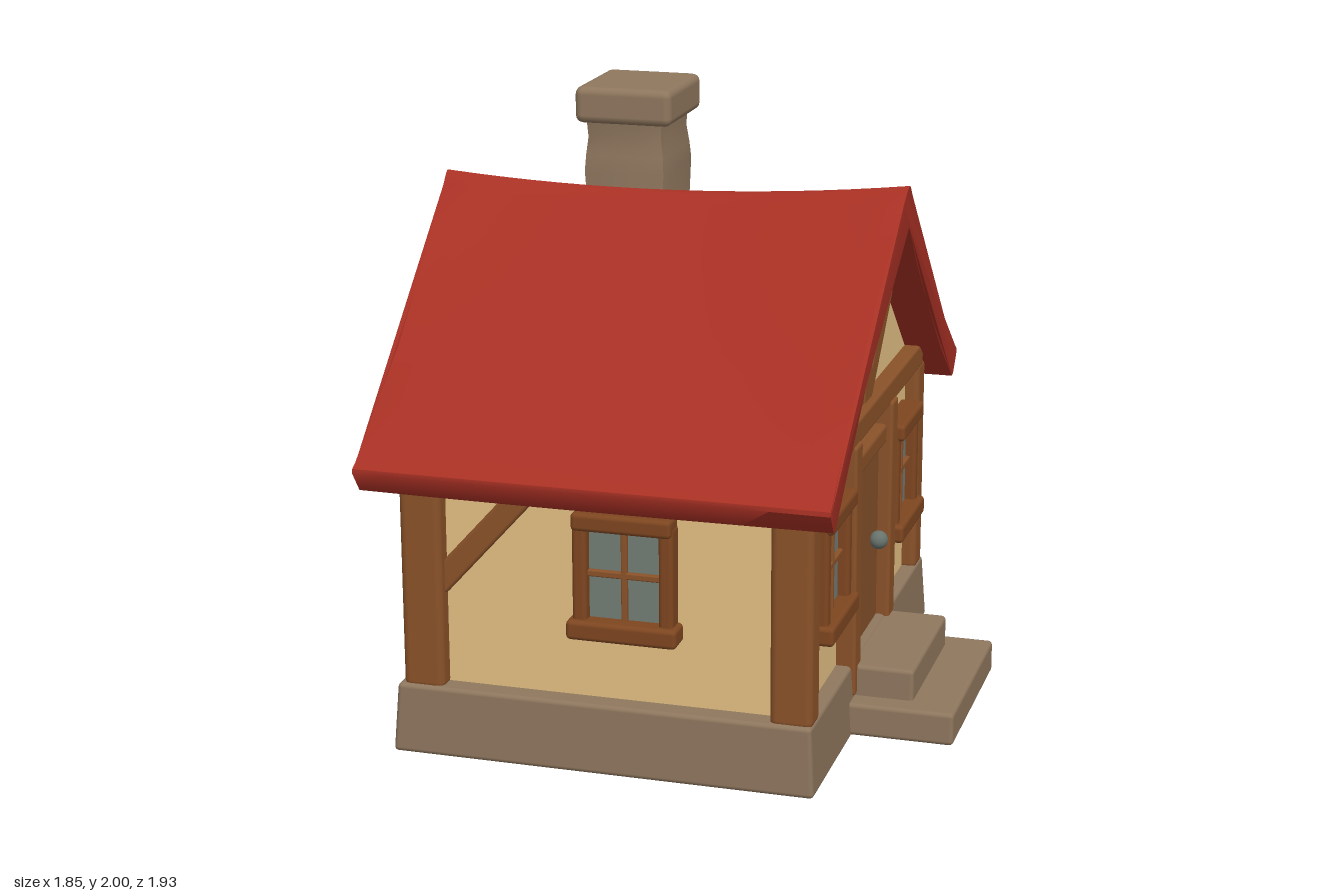
import * as THREE from 'three';
import { toCreasedNormals } from 'three/addons/utils/BufferGeometryUtils.js';
import { RoundedBoxGeometry } from 'three/addons/geometries/RoundedBoxGeometry.js';

const material = (name, color) => {
  const m = new THREE.MeshStandardMaterial({ color });
  m.name = name;
  return m;
};
const roofRed = material('roof red', 0xa83024);
const plaster = material('cream plaster', 0xe3c083);
const timber = material('timber brown', 0x8a5229);
const trim = material('window trim brown', 0x7e4620);
const doorWood = material('door brown', 0x84502b);
const stone = material('stone', 0x8f775e);
const glass = material('window glass', 0x737d76);
const metal = material('knob grey', 0x68736c);

const add = (parent, name, geometry, mat) => {
  const mesh = new THREE.Mesh(geometry, mat);
  mesh.name = name;
  parent.add(mesh);
  return mesh;
};

// Softly rounded block given by its min and max on each axis
function block(parent, name, mat, [x0, x1], [y0, y1], [z0, z1], radius = 0.015) {
  const mesh = add(parent, name, new RoundedBoxGeometry(x1 - x0, y1 - y0, z1 - z0, 2, radius), mat);
  mesh.position.set((x0 + x1) / 2, (y0 + y1) / 2, (z0 + z1) / 2);
  return mesh;
}

// Timber running between two points of a wall's local xy plane
function beam(parent, name, [ax, ay], [bx, by], width, z0, z1) {
  const length = Math.hypot(bx - ax, by - ay);
  const mesh = add(parent, name, new RoundedBoxGeometry(width, length, z1 - z0, 2, 0.012), timber);
  mesh.position.set((ax + bx) / 2, (ay + by) / 2, (z0 + z1) / 2);
  mesh.rotation.z = Math.atan2(ax - bx, by - ay);
  return mesh;
}

// Move every vertex by a rule
function warp(geometry, rule) {
  const p = geometry.attributes.position;
  const v = new THREE.Vector3();
  for (let i = 0; i < p.count; i++) {
    rule(v.fromBufferAttribute(p, i));
    p.setXYZ(i, v.x, v.y, v.z);
  }
  return geometry;
}

// Extrude a (z, y) outline along x
function extrudeX(points, x0, x1, steps) {
  const shape = new THREE.Shape(points.map(([z, y]) => new THREE.Vector2(z, y)));
  const g = new THREE.ExtrudeGeometry(shape, { depth: x1 - x0, steps, bevelEnabled: false });
  return g.rotateY(Math.PI / 2).translate(x0, 0, 0);
}

// Window facing +z with its back on the local z = 0 plane
function makeWindow(name) {
  const w = new THREE.Group();
  w.name = name;
  block(w, 'windowGlass', glass, [-0.14, 0.14], [0.5, 0.84], [0.015, 0.024], 0.002);
  for (const s of [-1, 1]) {
    block(w, 'windowJamb', trim, [s * 0.143 - 0.024, s * 0.143 + 0.024], [0.49, 0.85], [-0.02, 0.062]);
  }
  block(w, 'windowSill', trim, [-0.183, 0.183], [0.455, 0.52], [-0.02, 0.085]);
  block(w, 'windowLintel', trim, [-0.165, 0.165], [0.82, 0.88], [-0.02, 0.08]);
  block(w, 'mullion', timber, [-0.01, 0.01], [0.5, 0.84], [0.01, 0.04], 0.005);
  block(w, 'glazingBar', timber, [-0.14, 0.14], [0.66, 0.682], [0.01, 0.04], 0.005);
  return w;
}

// Stone plinth, underside patch and door steps
function makeBase() {
  const base = new THREE.Group();
  base.name = 'base';
  const plinth = block(base, 'plinth', stone, [-0.84, 0.575], [0.004, 0.237], [-0.86, 0.86], 0.015);
  warp(plinth.geometry, (v) => {
    const k = 1 - 0.02 * (v.y / 0.23 + 0.5);
    v.x *= k;
    v.z *= k;
  });
  block(base, 'upperStep', stone, [0.4, 0.765], [0.05, 0.23], [-0.28, 0.265]);
  block(base, 'lowerStep', stone, [0.4, 0.917], [0.012, 0.125], [-0.355, 0.345]);
  const outline = [];
  for (let i = 0; i < 40; i++) {
    const a = (i / 40) * Math.PI * 2;
    const c = Math.cos(a), s = Math.sin(a);
    const r = 0.98 + 0.02 * Math.sin(i * 2.3);
    outline.push(new THREE.Vector2(
      -0.13 + 0.64 * r * Math.sign(c) * Math.abs(c) ** 0.45,
      0.79 * r * Math.sign(s) * Math.abs(s) ** 0.45));
  }
  const floor = new THREE.ShapeGeometry(new THREE.Shape(outline)).rotateX(Math.PI / 2);
  add(base, 'floorUnderside', floor, timber);
  return base;
}

// Sagging gable roof slab
function makeRoof() {
  const outer = [0.02, 0.06, 0.22, 0.4, 0.58, 0.76, 0.94].map((z) => [z, 1.765 - 0.8 * z]);
  outer.push([0.962, 1.0], [0.964, 0.985], [0.915, 0.915], [0.895, 0.91]);
  const inner = [0.7, 0.45, 0.2].map((z) => [z, 1.62 - 0.795 * z]);
  const half = [...outer, ...inner];
  const mirrored = half.map(([z, y]) => [-z, y]).reverse();
  const points = [[0, 1.757], ...half, [0, 1.62], ...mirrored];
  const g = warp(extrudeX(points, -0.905, 0.645, 16), (v) => {
    const up = Math.max(0, 1 - Math.abs(v.z) / 0.96);
    v.y += up * (0.043 * v.x + 0.07 * v.x * v.x - 0.012);
    v.y += 0.007 * Math.sin(v.x * 3 + v.z * 13) * Math.sin(up * Math.PI);
    v.x *= 1 + 0.03 * up - 0.025 * Math.sin(up * Math.PI);
  });
  const roof = new THREE.Mesh(toCreasedNormals(g, 0.75), roofRed);
  roof.name = 'roof';
  return roof;
}

// Uneven stacked shaft with a rounded cap
function makeChimney() {
  const chimney = new THREE.Group();
  chimney.name = 'chimney';
  const rows = [[1.05, 0.15, 0.19], [1.2, 0.155, 0.196], [1.35, 0.158, 0.2], [1.38, 0.148, 0.186],
    [1.52, 0.152, 0.188], [1.57, 0.145, 0.178], [1.7, 0.152, 0.182], [1.76, 0.148, 0.172],
    [1.82, 0.14, 0.164], [1.9, 0.145, 0.172]];
  const shaft = warp(new THREE.BoxGeometry(2, rows.length - 1, 2, 4, rows.length - 1, 4), (v) => {
    const [y, hx, hz] = rows[Math.round(v.y + (rows.length - 1) / 2)];
    const corner = Math.abs(v.x) === 1 && Math.abs(v.z) === 1 ? 0.94 : 1;
    v.set(-0.43 + v.x * hx * corner, y, -0.55 - 0.04 * (1.9 - y) + v.z * hz * corner);
  });
  add(chimney, 'chimneyShaft', toCreasedNormals(shaft, 0.8), stone);
  block(chimney, 'chimneyCap', stone, [-0.6, -0.253], [1.872, 2], [-0.745, -0.355], 0.028);
  return chimney;
}

// Horizontal tie, king post and angled struts on a gable facing local +z
function gableTimbers(parent) {
  beam(parent, 'tieBeam', [-0.76, 1.03], [0.76, 1.03], 0.085, -0.03, 0.055);
  beam(parent, 'kingPost', [0, 1.04], [0, 1.62], 0.115, -0.03, 0.03);
  for (const s of [-1, 1]) {
    beam(parent, 'gableStrut', [s * 0.03, 1.07], [s * 0.345, 1.38], 0.085, -0.03, 0.025);
  }
}

export function createModel() {
  const house = new THREE.Group();
  house.name = 'cottage';
  house.add(makeBase(), makeRoof(), makeChimney());

  // Plaster body with gable ends
  const body = [[0.77, 0.2], [0.77, 1.03], [0, 1.65], [-0.77, 1.03], [-0.77, 0.2]];
  add(house, 'walls', toCreasedNormals(extrudeX(body, -0.76, 0.51, 1), 0.4), plaster);

  // Corner posts
  for (const s of [-1, 1]) {
    const z = s < 0 ? [-0.83, -0.715] : [0.715, 0.83];
    block(house, 'cornerPost', timber, [-0.81, -0.67], [0.22, 1.0], z, 0.025);
    block(house, 'cornerPost', timber, [0.42, 0.56], [0.22, 1.0], z, 0.025);
  }

  // Long side walls: window and diagonal brace on each
  for (const s of [1, -1]) {
    const side = new THREE.Group();
    side.name = s > 0 ? 'frontWall' : 'backWall';
    const win = makeWindow('sideWindow');
    win.position.set(-0.06 * s, 0, 0.77);
    side.add(win);
    beam(side, 'wallBrace', [-0.35 * s, 0.96], [-0.7 * s, 0.57], 0.08, 0.74, 0.795);
    side.rotation.y = s > 0 ? 0 : Math.PI;
    house.add(side);
  }

  // Entrance gable: local x runs toward -z
  const entrance = new THREE.Group();
  entrance.name = 'entranceWall';
  entrance.rotation.y = Math.PI / 2;
  entrance.position.x = 0.51;
  gableTimbers(entrance);
  for (const s of [-1, 1]) {
    const win = makeWindow('entranceWindow');
    win.position.x = s * 0.512;
    entrance.add(win);
    beam(entrance, 'doorPost', [s * 0.25, 0.13], [s * 0.268, 1.0], 0.088, -0.03, 0.065);
  }
  block(entrance, 'door', doorWood, [-0.215, 0.215], [0.22, 0.87], [-0.02, 0.02], 0.008);
  block(entrance, 'doorHeader', timber, [-0.225, 0.225], [0.855, 0.925], [-0.02, 0.045]);
  add(entrance, 'doorKnob', new THREE.SphereGeometry(0.032, 20, 14), metal).position.set(0.12, 0.54, 0.045);
  house.add(entrance);

  // Rear gable with a single middle post
  const rear = new THREE.Group();
  rear.name = 'rearWall';
  rear.rotation.y = -Math.PI / 2;
  rear.position.x = -0.76;
  gableTimbers(rear);
  beam(rear, 'middlePost', [0.02, 0.22], [-0.01, 1.02], 0.11, -0.03, 0.03);
  house.add(rear);

  return house;
}
